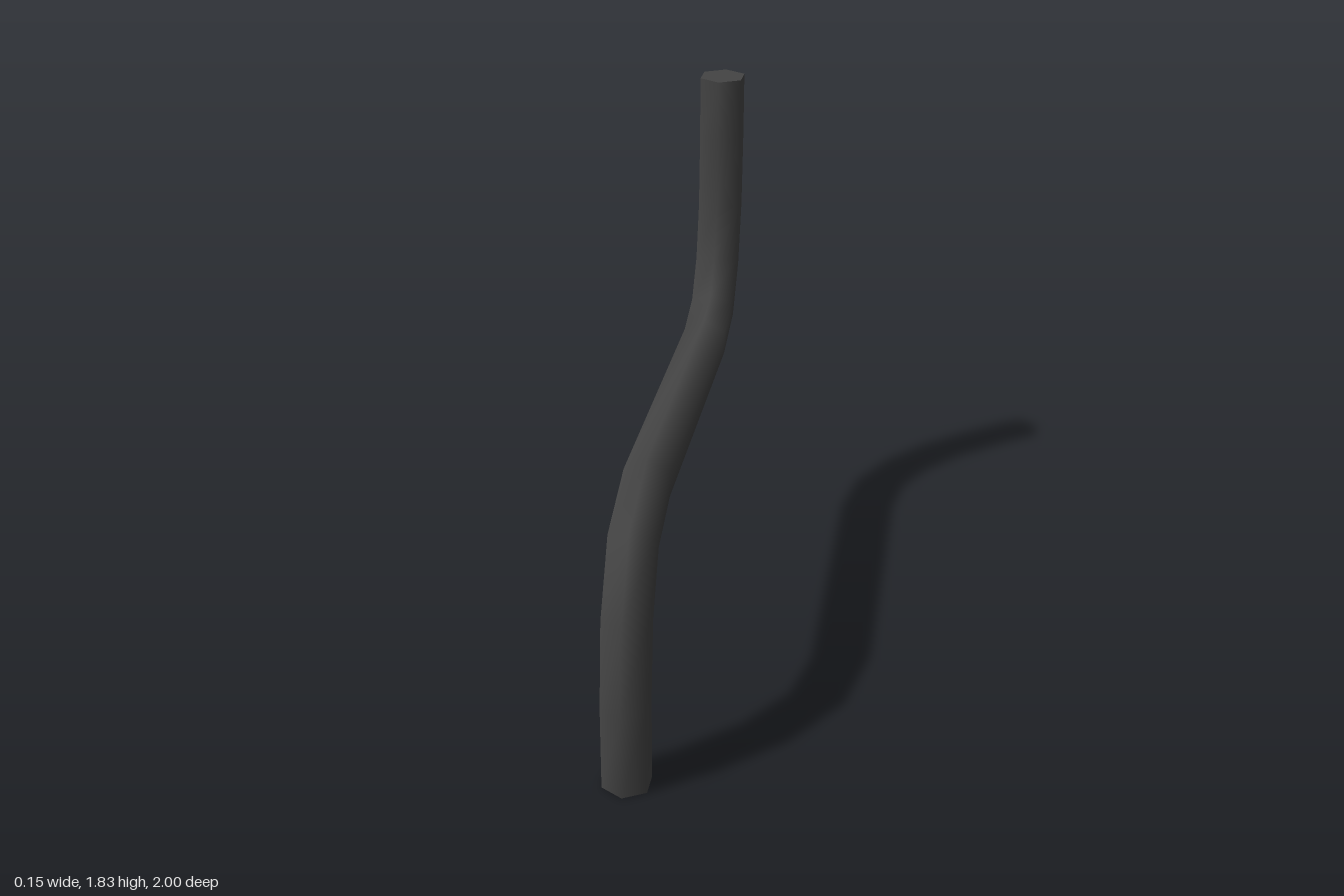
import * as THREE from 'three';

const SIDES = 6;
const RADIUS = 0.087;

// Mitred sections along the bent bar: outer z, y and opposite z, y
const SECTIONS = [
  [1, 0, 0.83, 0],
  [1, 0.31, 0.83, 0.31],
  [0.96, 0.63, 0.795, 0.58],
  [0.825, 0.89, 0.71, 0.765],
  [0.55, 1, 0.55, 0.83],
  [-0.55, 1, -0.55, 0.83],
  [-0.685, 1.045, -0.785, 0.905],
  [-0.765, 1.165, -0.915, 1.09],
  [-0.81, 1.35, -0.98, 1.32],
  [-0.825, 1.6, -1, 1.6],
  [-0.825, 1.83, -1, 1.83],
];

// Six points of one section, with corners on the bending plane
function ring([z1, y1, z2, y2]) {
  return Array.from({ length: SIDES }, (_, j) => {
    const t = (j / SIDES) * Math.PI * 2;
    const k = Math.cos(t) / 2;
    return [
      Math.sin(t) * RADIUS,
      (y1 + y2) / 2 + k * (y1 - y2),
      (z1 + z2) / 2 + k * (z1 - z2),
    ];
  });
}

function geometryFrom(points, index) {
  const geometry = new THREE.BufferGeometry();
  geometry.setAttribute('position', new THREE.Float32BufferAttribute(points.flat(), 3));
  geometry.setIndex(index);
  geometry.computeVertexNormals();
  return geometry;
}

// Smooth skin between consecutive sections
function barGeometry() {
  const index = [];
  for (let i = 0; i < SECTIONS.length - 1; i++) {
    for (let j = 0; j < SIDES; j++) {
      const a = i * SIDES + j;
      const b = i * SIDES + ((j + 1) % SIDES);
      index.push(a, b, b + SIDES, a, b + SIDES, a + SIDES);
    }
  }
  return geometryFrom(SECTIONS.flatMap(ring), index);
}

// Flat hexagonal end
function capGeometry(section, reversed) {
  const index = [];
  for (let j = 1; j < SIDES - 1; j++) {
    index.push(...(reversed ? [0, j + 1, j] : [0, j, j + 1]));
  }
  return geometryFrom(ring(section), index);
}

export function createModel() {
  const group = new THREE.Group();
  group.name = 'crankedBar';
  const darkMetal = new THREE.MeshStandardMaterial({ color: 0x444444 });
  darkMetal.name = 'darkMetal';

  const add = (name, geometry) => {
    const mesh = new THREE.Mesh(geometry, darkMetal);
    mesh.name = name;
    group.add(mesh);
  };

  add('bentBar', barGeometry());
  add('lowerEnd', capGeometry(SECTIONS[0], true));
  add('upperEnd', capGeometry(SECTIONS[SECTIONS.length - 1], false));
  return group;
}
